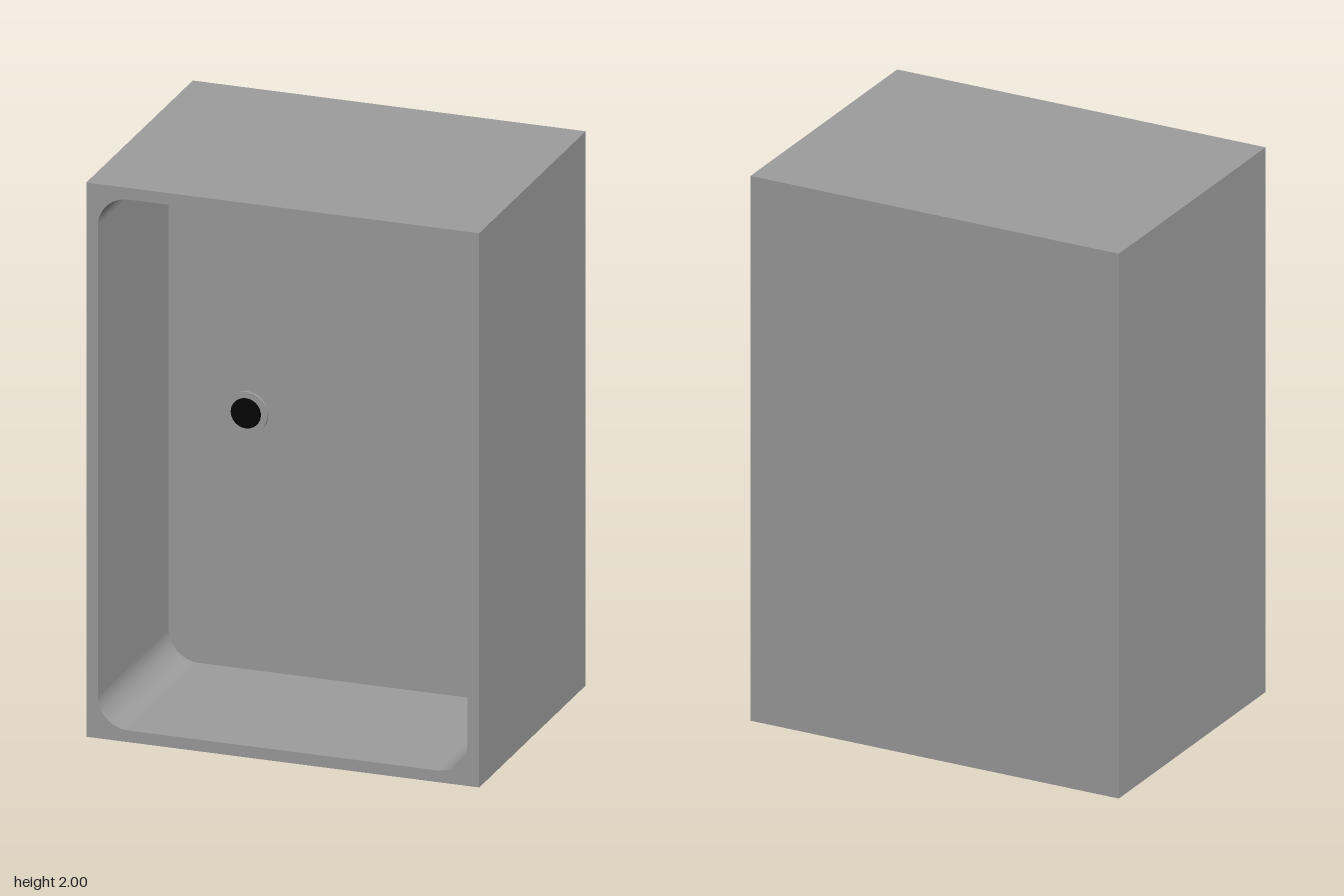
import * as THREE from 'three';

const W = 1.414, H = 2, D = 1.044;          // outer block
const CW = 0.665, CH = 0.958, R = 0.11;     // cavity half sizes and corner radius
const FRONT = D / 2, FLOOR = -0.17;         // cavity opening and bottom
const SEGMENTS = 10;

// Rounded rectangle, counter-clockwise from the middle of its lower side
function roundedRect(path, a, b, r) {
  path.moveTo(0, -b).lineTo(a - r, -b);
  [[1, -1], [1, 1], [-1, 1], [-1, -1]].forEach(([sx, sy], i) => {
    const start = (i - 1) * Math.PI / 2;
    path.absarc(sx * (a - r), sy * (b - r), r, start, start + Math.PI / 2, false);
  });
  path.lineTo(0, -b);
  return path;
}

export function createModel() {
  const group = new THREE.Group();
  const grey = new THREE.MeshStandardMaterial({ color: 0x9d9d9d });
  const black = new THREE.MeshStandardMaterial({ color: 0x050505 });

  const add = (name, geometry, material, x, y, z) => {
    const mesh = new THREE.Mesh(geometry, material);
    mesh.name = name;
    mesh.position.set(x, y, z);
    group.add(mesh);
  };

  // Outer block without its front face
  const block = new THREE.BoxGeometry(W, H, D);
  const front = block.groups[4];
  block.setIndex(Array.from(block.index.array)
    .filter((_, i) => i < front.start || i >= front.start + front.count));
  block.clearGroups();
  add('outerBlock', block, grey, 0, H / 2, 0);

  // Flat rim around the opening
  const rim = new THREE.Shape()
    .moveTo(-W / 2, -H / 2).lineTo(W / 2, -H / 2).lineTo(W / 2, H / 2).lineTo(-W / 2, H / 2).closePath();
  rim.holes.push(roundedRect(new THREE.Path(), CW, CH, R));
  add('rim', new THREE.ShapeGeometry(rim, SEGMENTS), grey, 0, H / 2, FRONT);

  // Inner wall: a strip wrapped along the cavity outline, facing inwards
  const cavity = roundedRect(new THREE.Shape(), CW, CH, R);
  const outline = cavity.getPoints(SEGMENTS).reverse();
  const n = outline.length;
  const wall = new THREE.PlaneGeometry(1, 1, n - 1, 1);
  for (let i = 0; i < n; i++) {
    wall.attributes.position.setXYZ(i, outline[i].x, outline[i].y, FRONT);
    wall.attributes.position.setXYZ(i + n, outline[i].x, outline[i].y, FLOOR);
  }
  wall.computeVertexNormals();
  add('innerWall', wall, grey, 0, H / 2, 0);

  // Cavity floor
  add('basinFloor', new THREE.ShapeGeometry(cavity, SEGMENTS), grey, 0, H / 2, FLOOR);

  // Drain: low flange with a dark opening
  const disc = (name, radius, depth, material) => {
    const geometry = new THREE.CylinderGeometry(radius, radius, depth, 48).rotateX(Math.PI / 2);
    add(name, geometry, material, -0.383, 0.969, FLOOR + depth / 2);
  };
  disc('drainFlange', 0.077, 0.01, grey);
  disc('drainOpening', 0.054, 0.012, black);

  return group;
}
